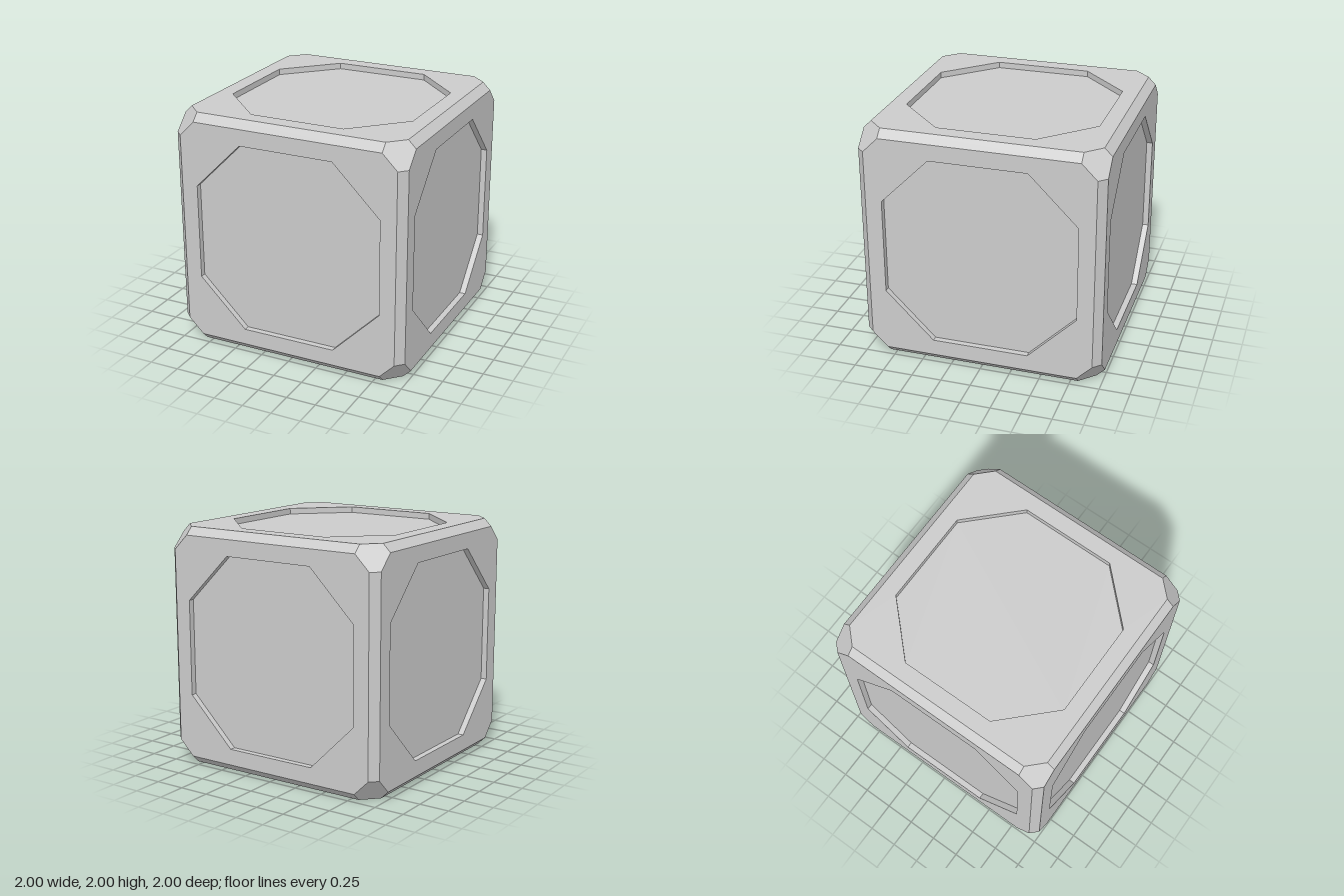
import * as THREE from 'three';

const EDGE = 0.936;    // where a face meets its edge bevel
const CORNER = 0.81;   // where an edge bevel meets the corner cut
const DEPTH = 0.05;    // depth of the recessed panels
const material = new THREE.MeshStandardMaterial({ color: 0xcccccc, flatShading: true });

// Octagon symmetric in both axes, counter-clockwise
function octagon(a, b) {
  return [[a, -b], [a, b], [b, a], [-b, a], [-a, b], [-a, -b], [-b, -a], [b, -a]]
    .map(([x, y]) => new THREE.Vector2(x, y));
}

// Flat convex polygons as triangle fans
function polygons(list) {
  const pos = [];
  for (const p of list)
    for (let i = 1; i < p.length - 1; i++) pos.push(...p[0], ...p[i], ...p[i + 1]);
  const g = new THREE.BufferGeometry();
  g.setAttribute('position', new THREE.Float32BufferAttribute(pos, 3));
  g.computeVertexNormals();
  return g;
}

function add(parent, name, geometry) {
  const mesh = new THREE.Mesh(geometry, material);
  mesh.name = name;
  parent.add(mesh);
  return mesh;
}

// One side facing +z: outer frame, sunken panel and the walls between them
function createSide() {
  const side = new THREE.Group();
  const rim = octagon(0.8, 0.4);
  const frame = new THREE.Shape(octagon(EDGE, CORNER));
  frame.holes.push(new THREE.Path(rim));
  add(side, 'faceFrame', new THREE.ShapeGeometry(frame)).position.z = 1;
  add(side, 'recessedPanel', new THREE.ShapeGeometry(new THREE.Shape(rim))).position.z = 1 - DEPTH;
  add(side, 'recessWalls', polygons(rim.map((a, i) => {
    const b = rim[(i + 1) % rim.length];
    return [[a.x, a.y, 1], [b.x, b.y, 1], [b.x, b.y, 1 - DEPTH], [a.x, a.y, 1 - DEPTH]];
  })));
  return side;
}

export function createModel() {
  const model = new THREE.Group();
  model.name = 'bevelledCube';
  const body = new THREE.Group();
  body.name = 'body';
  body.position.y = 1;
  model.add(body);

  // Six identical sides
  const turns = {
    front: [0, 0], left: [0, 1], back: [0, 2], right: [0, 3], top: [-1, 0], bottom: [1, 0],
  };
  for (const [name, [rx, ry]] of Object.entries(turns)) {
    const side = createSide();
    side.name = name + 'Side';
    side.rotation.set(rx * Math.PI / 2, ry * Math.PI / 2, 0);
    body.add(side);
  }

  // Twelve edge bevels: four around each axis
  const mid = (1 + EDGE) / 2;
  const strip = new THREE.PlaneGeometry((1 - EDGE) * Math.SQRT2, CORNER * 2);
  strip.translate(0, 0, mid * Math.SQRT2);
  for (const axis of ['x', 'y', 'z']) {
    for (let i = 0; i < 4; i++) {
      const g = strip.clone().rotateY(Math.PI / 4 + i * Math.PI / 2);
      if (axis === 'x') g.rotateZ(Math.PI / 2);
      if (axis === 'z') g.rotateX(Math.PI / 2);
      add(body, 'edgeBevel', g);
    }
  }

  // Eight hexagonal corner cuts, mirrored from one
  const hexagon = [
    [1, EDGE, CORNER], [EDGE, 1, CORNER], [CORNER, 1, EDGE],
    [CORNER, EDGE, 1], [EDGE, CORNER, 1], [1, CORNER, EDGE],
  ];
  for (const sx of [-1, 1]) for (const sy of [-1, 1]) for (const sz of [-1, 1]) {
    const loop = hexagon.map(([x, y, z]) => [x * sx, y * sy, z * sz]);
    if (sx * sy * sz < 0) loop.reverse();
    add(body, 'cornerCut', polygons([loop]));
  }
  return model;
}
